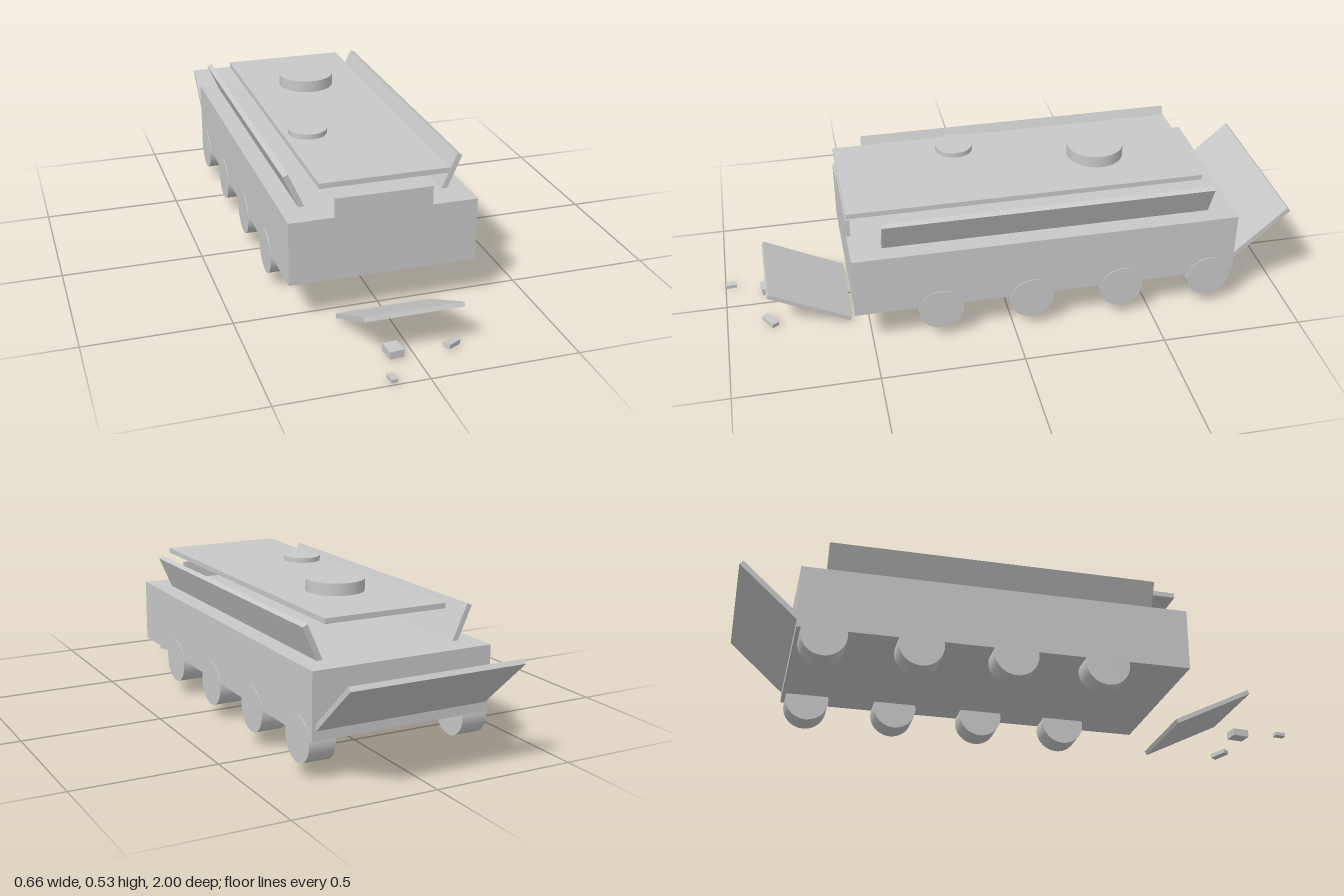
import * as THREE from 'three';

export function createModel() {
  const group = new THREE.Group();
  group.name = 'armouredCarrier';
  const grey = new THREE.MeshStandardMaterial({ color: 0xc8c8c8 });
  grey.name = 'plainGrey';

  function add(name, geometry, position, rotation = [0, 0, 0]) {
    const mesh = new THREE.Mesh(geometry, grey);
    mesh.name = name;
    mesh.position.set(...position);
    mesh.rotation.set(...rotation);
    group.add(mesh);
    return mesh;
  }
  const box = (name, size, position, rotation) =>
    add(name, new THREE.BoxGeometry(...size), position, rotation);
  const disc = (name, radius, height, position, rotation) =>
    add(name, new THREE.CylinderGeometry(radius, radius, height, 48), position, rotation);

  // Hull, with the raised front plate flush with its nose
  box('hull', [0.65, 0.223, 1.36], [0, 0.2535, -0.12]);
  box('frontPlate', [0.334, 0.066, 0.015], [0, 0.398, 0.5525]);

  // Lifted roof with its two hatches
  box('roof', [0.444, 0.018, 1.25], [0, 0.481, -0.065]);
  disc('largeHatch', 0.1, 0.042, [0, 0.511, -0.36]);
  disc('smallHatch', 0.067, 0.018, [-0.135, 0.499, 0.13]);

  // Wheels and opened side flaps, mirrored
  for (const [side, s] of [['left', 1], ['right', -1]]) {
    [0.26, -0.062, -0.387, -0.71].forEach((z, i) =>
      disc(`${side}Wheel${i + 1}`, 0.078, 0.093, [s * 0.2815, 0.125, z], [0, 0, Math.PI / 2]));
    box(`${side}Flap`, [0.019, 0.136, 1.16], [s * 0.274, 0.419, -0.13], [0, 0, -s * 0.42]);
  }

  // Rear ramp half open, and the detached front door lying ahead of the hull
  box('rearRamp', [0.622, 0.018, 0.27], [0, 0.271, -0.894], [0.733, 0, 0]);
  box('frontDoor', [0.334, 0.016, 0.318], [0, 0.0785, 0.707], [-0.465, 0, 0]);

  // Loose debris
  box('debrisSmall', [0.022, 0.013, 0.038], [-0.118, 0.012, 0.979], [0, 0.08, -0.06]);
  box('debrisLarge', [0.05, 0.026, 0.06], [-0.065, 0.02, 0.84], [0, 0.1, 0]);
  box('debrisFlat', [0.06, 0.015, 0.028], [0.1275, 0.015, 0.848], [0, 0.6, -0.13]);

  return group;
}
